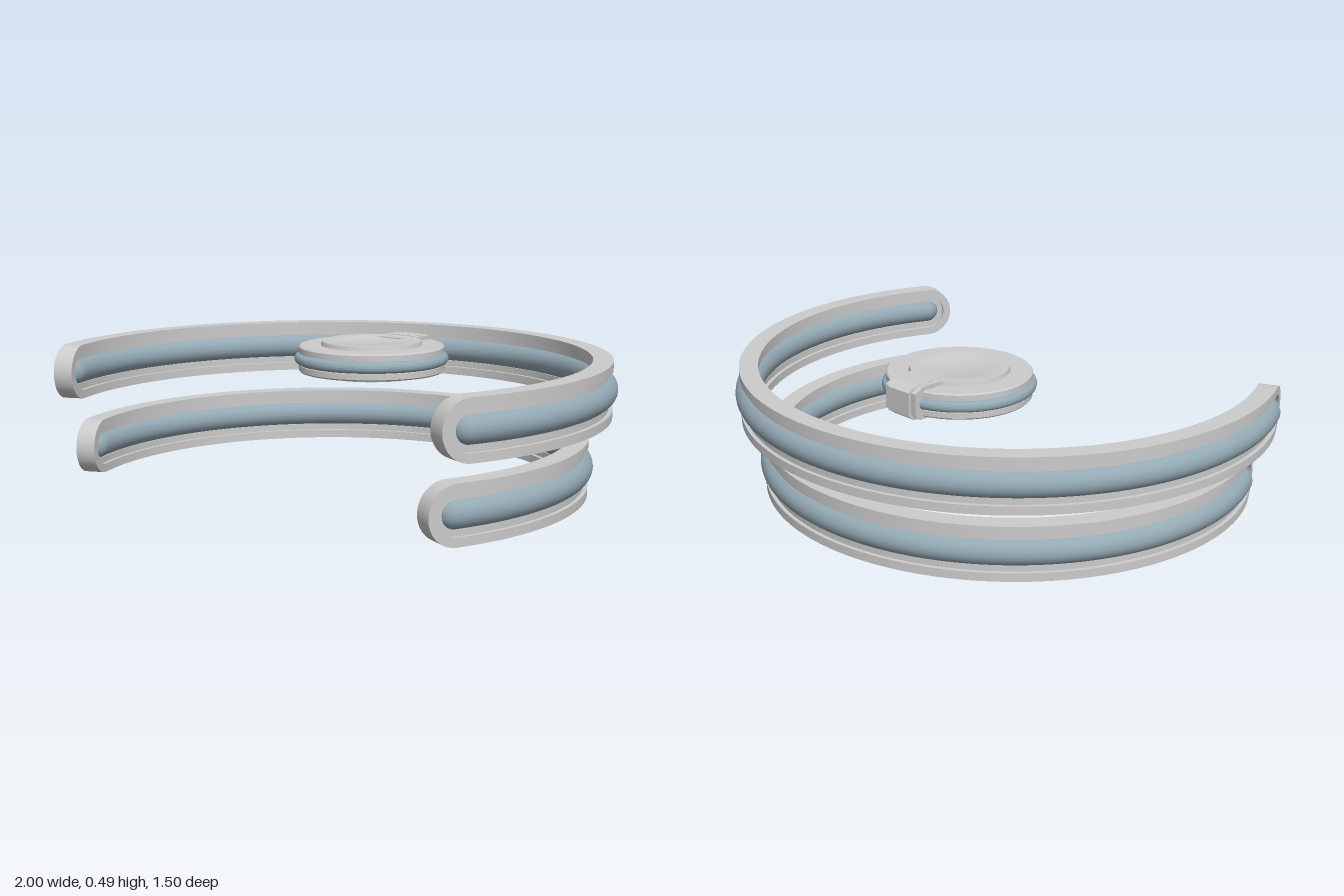
import * as THREE from 'three';
import { toCreasedNormals } from 'three/addons/utils/BufferGeometryUtils.js';

const CENTER_Z = 0.253;                 // centre of both arcs
const END = THREE.MathUtils.degToRad(114.5); // half sweep, measured from the back
const ARC_STEPS = 96, CAP_STEPS = 20;

const grey = new THREE.MeshStandardMaterial({ color: 0xcccccc });
const blue = new THREE.MeshStandardMaterial({ color: 0x94a9b4 });

function add(parent, name, geometry, material = grey) {
  const mesh = new THREE.Mesh(geometry, material);
  mesh.name = name;
  parent.add(mesh);
  return mesh;
}

// Point on the arc: angle, tangential overshoot, radius and height
function arcPoint(phi, t, r, y) {
  return [
    r * Math.sin(phi) + t * Math.cos(phi),
    y,
    CENTER_Z - r * Math.cos(phi) + t * Math.sin(phi),
  ];
}

// Surface through rows of points, one row per cross-section
function skin(rows, crease) {
  const n = rows[0].length, index = [];
  for (let u = 0; u < rows.length - 1; u++) {
    for (let v = 0; v < n - 1; v++) {
      const a = u * n + v, b = a + n;
      index.push(a, b, b + 1, a, b + 1, a + 1);
    }
  }
  const g = new THREE.BufferGeometry();
  g.setAttribute('position', new THREE.Float32BufferAttribute(rows.flat(2), 3));
  g.setIndex(index);
  return toCreasedNormals(g, crease);
}

// Slot-shaped frame: a stepped section carried round a bent stadium
function frameGeometry(a, b, y0) {
  const step = 0.014, H = 0.0975, M = 0.067, L = 0.044;
  const section = [
    [H, a], [H, b], [M, b], [M, b - step], [L, b - step],
    [L, a + step], [M, a + step], [M, a], [H, a],
  ];
  const path = []; // [angle, direction angle in the stadium]
  for (let i = 0; i <= ARC_STEPS; i++) path.push([END * (2 * i / ARC_STEPS - 1), Math.PI / 2]);
  for (let i = 1; i <= CAP_STEPS; i++) path.push([END, Math.PI * (0.5 - i / CAP_STEPS)]);
  for (let i = 1; i <= ARC_STEPS; i++) path.push([END * (1 - 2 * i / ARC_STEPS), -Math.PI / 2]);
  for (let i = 1; i <= CAP_STEPS; i++) path.push([-END, -Math.PI * (0.5 + i / CAP_STEPS)]);
  const rows = path.map(([phi, d]) => section.map(([h, r]) =>
    arcPoint(phi, h * Math.cos(d), r, y0 + h * Math.sin(d))));
  return skin(rows, 0.5);
}

// Round bar with domed ends
function barGeometry(radius, tube, y0) {
  const path = []; // [angle, overshoot, tube radius]
  const dome = 10;
  for (let i = 0; i < dome; i++) {
    const d = (Math.PI / 2) * (1 - i / dome);
    path.push([-END, -tube * Math.sin(d), tube * Math.cos(d)]);
  }
  for (let i = 0; i <= ARC_STEPS; i++) path.push([END * (2 * i / ARC_STEPS - 1), 0, tube]);
  for (let i = 1; i <= dome; i++) {
    const d = (Math.PI / 2) * (i / dome);
    path.push([END, tube * Math.sin(d), tube * Math.cos(d)]);
  }
  const rows = path.map(([phi, t, rho]) => Array.from({ length: 25 }, (_, j) => {
    const d = (j / 24) * Math.PI * 2;
    return arcPoint(phi, t, radius + rho * Math.sin(d), y0 + rho * Math.cos(d));
  }));
  return skin(rows, 1);
}

function lathe(points, segments = 72) {
  const g = new THREE.LatheGeometry(points.map(([r, y]) => new THREE.Vector2(r, y)), segments);
  return toCreasedNormals(g, 0.5);
}

// Side profile (z, y) extruded across x, centred
function crossBar(points, width) {
  const shape = new THREE.Shape(points.map(([z, y]) => new THREE.Vector2(-z, y)));
  const g = new THREE.ExtrudeGeometry(shape, { depth: width, bevelEnabled: false });
  return g.translate(0, 0, -width / 2).rotateY(Math.PI / 2);
}

export function createModel() {
  const model = new THREE.Group();

  // Two stacked open rings
  for (const [name, y, offset] of [['upperRing', 0.3675, 0], ['lowerRing', 0.0975, -0.077]]) {
    const ring = new THREE.Group();
    ring.name = name;
    add(ring, 'slottedFrame', frameGeometry(0.914 + offset, 0.983 + offset, y));
    add(ring, 'roundBar', barGeometry(0.952 + offset, 0.048, y), blue);
    model.add(ring);
  }

  // Round medallion floating in the middle
  const disc = new THREE.Group();
  disc.name = 'medallion';
  disc.position.y = 0.423;
  model.add(disc);

  const rim = [[0.22, -0.02]];
  for (let i = 0; i <= 12; i++) {
    const d = Math.PI * (i / 12 - 0.5);
    rim.push([0.257 + 0.02 * Math.cos(d), 0.02 * Math.sin(d)]);
  }
  rim.push([0.22, 0.02]);
  add(disc, 'medallionRim', lathe(rim), blue);

  // Plate with a raised centre and a shallow dish, above and below
  const half = [
    [0.24, 0.012], [0.25, 0.022], [0.262, 0.022], [0.262, 0.042], [0.257, 0.047],
    [0.182, 0.047], [0.178, 0.062], [0.128, 0.062], [0.116, 0.058], [0, 0.058],
  ];
  add(disc, 'topPlate', lathe(half));
  add(disc, 'bottomPlate', lathe(half.map(([r, y]) => [r, -y]).reverse()));

  // Neck flaring out of the raised centre
  const neck = new THREE.Shape();
  neck.moveTo(-0.13, 0.11);
  neck.quadraticCurveTo(-0.076, 0.15, -0.076, 0.18);
  neck.lineTo(-0.076, 0.25);
  neck.lineTo(0.076, 0.25);
  neck.lineTo(0.076, 0.18);
  neck.quadraticCurveTo(0.076, 0.15, 0.13, 0.11);
  const neckGeometry = new THREE.ExtrudeGeometry(neck, { depth: 0.02, bevelEnabled: false });
  add(disc, 'neck', neckGeometry.rotateX(-Math.PI / 2).translate(0, 0.0415, 0));

  // Clasp wrapping over the back edge, with a ridged middle
  add(disc, 'clasp', crossBar([
    [-0.2, 0.061], [-0.25, 0.061], [-0.284, 0.042], [-0.284, -0.042], [-0.262, -0.056], [-0.2, -0.056],
  ], 0.152));
  add(disc, 'claspRidge', crossBar([
    [-0.18, 0.063], [-0.255, 0.063], [-0.295, 0.043], [-0.295, -0.043], [-0.268, -0.061], [-0.18, -0.061],
  ], 0.106));

  return model;
}
